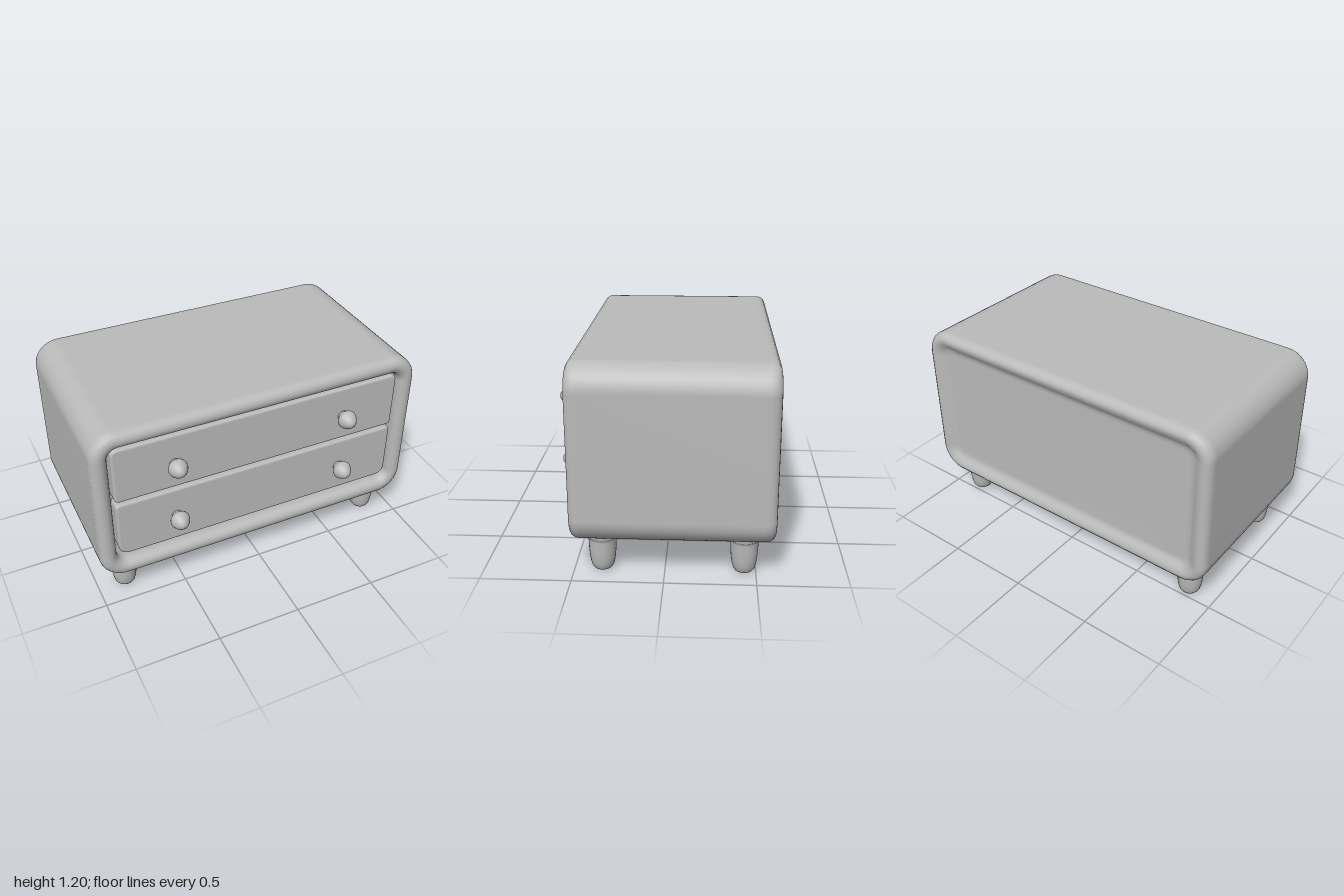
import * as THREE from 'three';

const grey = new THREE.MeshStandardMaterial({ color: 0xbababa });
grey.name = 'grey';

// Points of a rounded rectangle, counter-clockwise from the lower right corner
function roundedLoop(w, h, r, steps = 8) {
  const points = [];
  const corners = [[1, -1], [1, 1], [-1, 1], [-1, -1]];
  corners.forEach(([sx, sy], c) => {
    for (let i = 0; i <= steps; i++) {
      const a = (c - 1 + i / steps) * Math.PI / 2;
      points.push([sx * (w / 2 - r) + r * Math.cos(a), sy * (h / 2 - r) + r * Math.sin(a)]);
    }
  });
  return points;
}

// Cabinet skin: rounded loops from the sunken back panel, over the rims, into the front opening
function cabinetGeometry() {
  const profile = [
    [0.14, -0.562], [0.115, -0.565], [0.095, -0.575], [0.075, -0.59], [0.05, -0.6],
    [0.032, -0.597], [0.015, -0.586], [0.004, -0.57], [0, -0.55],
    [0, -0.53], [0, 0.44], [0, 0.46], [0.004, 0.48], [0.015, 0.497], [0.032, 0.507], [0.05, 0.51],
    [0.068, 0.507], [0.085, 0.496], [0.096, 0.48], [0.1, 0.46], [0.102, 0.4],
  ];
  const pos = [], index = [];
  let n = 0;
  profile.forEach(([inset, z]) => {
    const loop = roundedLoop(2 - 2 * inset, 1 - 2 * inset, Math.max(0.15 - 0.85 * inset, 0.04));
    n = loop.length;
    loop.forEach(([x, y]) => pos.push(x, y + 0.7, z));
  });
  const last = (profile.length - 1) * n;
  const back = pos.length / 3, front = back + 1;
  pos.push(0, 0.7, profile[0][1], 0, 0.7, 0.4);
  for (let i = 0; i < n; i++) {
    const j = (i + 1) % n;
    for (let k = 0; k < last; k += n) {
      index.push(k + i, k + j, k + n + j, k + i, k + n + j, k + n + i);
    }
    index.push(back, j, i, front, last + i, last + j);
  }
  const g = new THREE.BufferGeometry();
  g.setAttribute('position', new THREE.Float32BufferAttribute(pos, 3));
  g.setIndex(index);
  g.computeVertexNormals();
  return g;
}

// Drawer front with its own top and bottom corner radii and a soft front edge
function drawerGeometry(w, h, rTop, rBottom) {
  const b = 0.014, x = w / 2 - b, y = h / 2 - b;
  const s = new THREE.Shape();
  s.moveTo(-x + rBottom, -y);
  s.lineTo(x - rBottom, -y);
  s.quadraticCurveTo(x, -y, x, -y + rBottom);
  s.lineTo(x, y - rTop);
  s.quadraticCurveTo(x, y, x - rTop, y);
  s.lineTo(-x + rTop, y);
  s.quadraticCurveTo(-x, y, -x, y - rTop);
  s.lineTo(-x, -y + rBottom);
  s.quadraticCurveTo(-x, -y, -x + rBottom, -y);
  return new THREE.ExtrudeGeometry(s, {
    depth: 0.08, bevelThickness: b, bevelSize: b, bevelSegments: 4, curveSegments: 6,
  });
}

function lathe(points) {
  return new THREE.LatheGeometry(points.map(([r, y]) => new THREE.Vector2(r, y)), 28);
}

export function createModel() {
  const model = new THREE.Group();
  model.name = 'chestOfDrawers';
  const add = (name, geometry, x, y, z) => {
    const mesh = new THREE.Mesh(geometry, grey);
    mesh.name = name;
    mesh.position.set(x, y, z);
    model.add(mesh);
    return mesh;
  };

  add('cabinet', cabinetGeometry(), 0, 0, 0);

  // Two drawers, set just behind the front rim
  add('upperDrawer', drawerGeometry(1.765, 0.355, 0.025, 0.012), 0, 0.908, 0.391);
  add('lowerDrawer', drawerGeometry(1.765, 0.365, 0.012, 0.05), 0, 0.528, 0.391);

  // Pointed round knobs
  const knob = lathe([
    [0.03, 0], [0.033, 0.015], [0.044, 0.028], [0.053, 0.04], [0.057, 0.053], [0.055, 0.066],
    [0.048, 0.082], [0.037, 0.098], [0.026, 0.11], [0.014, 0.118], [0, 0.12],
  ]);
  for (const y of [0.9, 0.525]) {
    for (const x of [-0.53, 0.53]) add('knob', knob, x, y, 0.48).rotation.x = Math.PI / 2;
  }

  // Tapered feet with rounded ends
  const foot = lathe([
    [0, 0], [0.035, 0.001], [0.05, 0.006], [0.06, 0.02], [0.067, 0.045], [0.072, 0.08],
    [0.076, 0.13], [0.077, 0.18], [0.08, 0.192], [0.09, 0.201], [0.09, 0.24],
  ]);
  for (const x of [-0.83, 0.83]) {
    for (const z of [0.345, -0.435]) add('foot', foot, x, 0, z);
  }

  return model;
}
